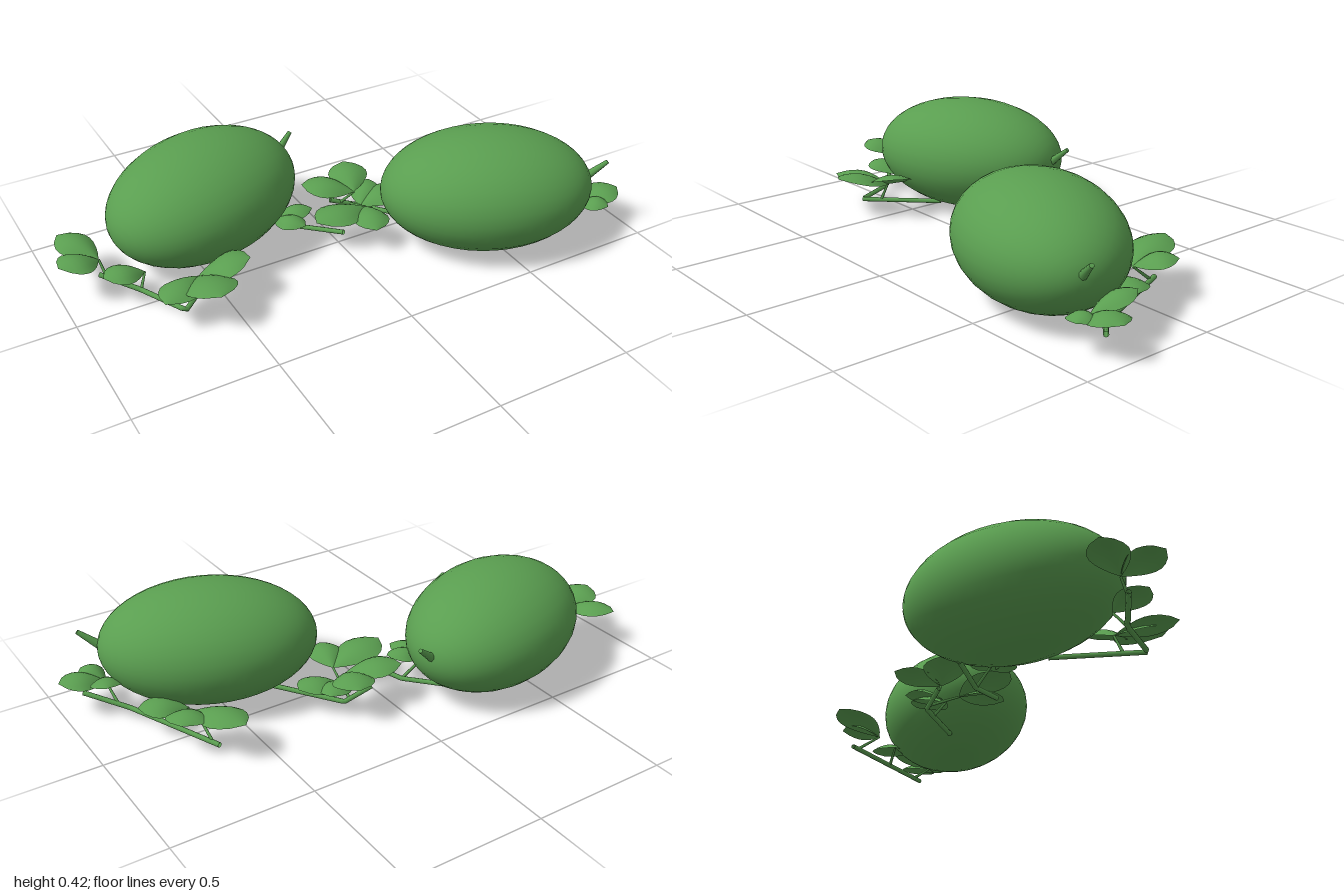
import * as THREE from 'three';

const V = (p) => new THREE.Vector3(...p);

export function createModel() {
  const green = new THREE.MeshStandardMaterial({ color: 0x5a9e50, side: THREE.DoubleSide });
  green.name = 'leaf green';
  const model = new THREE.Group();
  model.name = 'melonPatch';

  const add = (geometry, name) => {
    const mesh = new THREE.Mesh(geometry, green);
    mesh.name = name;
    model.add(mesh);
    return mesh;
  };

  // Flattened oval fruit, poles along its long axis
  const fruit = (x, z, turn) => {
    const g = new THREE.SphereGeometry(1, 32, 24).rotateZ(Math.PI / 2).scale(0.385, 0.212, 0.276);
    const m = add(g, 'fruit');
    m.position.set(x, 0.215, z);
    m.rotation.y = turn;
  };

  // Tapered stalk between two points
  const stalk = (a, b, r0, r1, name) => {
    const from = V(a), dir = V(b).sub(from);
    const g = new THREE.CylinderGeometry(r1, r0, dir.length(), 8);
    const m = add(g, name);
    m.position.copy(from).addScaledVector(dir, 0.5);
    m.quaternion.setFromUnitVectors(new THREE.Vector3(0, 1, 0), dir.normalize());
  };

  // Vine with straight runs and bends at its nodes
  const vine = (points) => {
    const path = new THREE.CurvePath();
    points.slice(1).forEach((p, i) => path.add(new THREE.LineCurve3(V(points[i]), V(p))));
    add(new THREE.TubeGeometry(path, 32, 0.009, 8), 'vine');
  };

  // Pointed, arched leaf lobe folded along its midrib
  const lobe = (base, tip, width) => {
    const a = V(base), d = V(tip).sub(a);
    const side = new THREE.Vector3(-d.z, 0, d.x).normalize();
    const g = new THREE.PlaneGeometry(2, 1, 8, 8);
    const pos = g.attributes.position;
    for (let i = 0; i < pos.count; i++) {
      const s = pos.getX(i), t = pos.getY(i) + 0.5;
      const half = (width / 2) * Math.sin(Math.PI * Math.pow(t, 1.25)) ** 0.7 || 0;
      const p = a.clone().addScaledVector(d, t).addScaledVector(side, s * half);
      p.y += 0.03 * Math.sin(Math.PI * t) - 0.028 * s * s * Math.sin(Math.PI * t);
      pos.setXYZ(i, p.x, p.y, p.z);
    }
    g.computeVertexNormals();
    add(g, 'leafLobe');
  };

  // Leaf: petiole from the vine plus lobes fanning from its top
  const leaf = (root, base, lobes) => {
    stalk(root, base, 0.006, 0.004, 'leafStalk');
    lobes.forEach(([x, y, z, w]) => lobe(base, [x, y, z], w));
  };

  fruit(-0.425, -0.235, 0.34);
  fruit(0.49, 0.22, -0.4);

  // Fruit stems
  stalk([-0.07, 0.23, -0.345], [-0.003, 0.288, -0.367], 0.016, 0.008, 'fruitStem');
  stalk([0.835, 0.23, 0.365], [0.9, 0.288, 0.395], 0.016, 0.008, 'fruitStem');

  // Ground vines
  vine([[-0.42, 0.04, -0.08], [-0.66, 0.032, 0.13], [-0.75, 0.032, -0.05], [-0.86, 0.072, -0.15]]);
  vine([[-0.22, 0.04, -0.29], [-0.1, 0.03, -0.13], [0, 0.07, 0.04]]);
  vine([[0.32, 0.04, 0.07], [0.16, 0.032, -0.15], [0.06, 0.072, -0.17]]);
  vine([[0.65, 0.035, -0.15], [0.8, 0.032, 0.23], [0.92, 0.072, 0.35]]);

  // Leaves beside the right-hand fruit
  leaf([-0.84, 0.066, -0.13], [-0.85, 0.12, -0.17], [[-0.94, 0.15, -0.34, 0.13], [-1, 0.16, -0.13, 0.15]]);
  leaf([-0.75, 0.032, -0.05], [-0.72, 0.08, -0.08], [[-0.87, 0.11, -0.07, 0.13]]);
  leaf([-0.6, 0.035, 0.08], [-0.58, 0.1, 0.06],
    [[-0.75, 0.13, 0.19, 0.14], [-0.59, 0.16, 0.28, 0.18], [-0.42, 0.17, 0.14, 0.16]]);
  leaf([-0.1, 0.03, -0.13], [-0.2, 0.09, -0.13], [[-0.13, 0.11, -0.01, 0.1], [-0.06, 0.12, -0.09, 0.1]]);

  // Leaves between the fruits
  leaf([0.1, 0.056, -0.16], [0.13, 0.12, -0.11], [[-0.04, 0.15, -0.21, 0.15], [0.18, 0.15, -0.28, 0.15]]);
  leaf([0.14, 0.04, -0.15], [0.13, 0.1, -0.03], [[-0.1, 0.13, 0.02, 0.16], [0.08, 0.11, 0.14, 0.13]]);
  leaf([0.2, 0.034, -0.09], [0.14, 0.07, -0.08], [[0.31, 0.1, -0.09, 0.14], [0.24, 0.1, -0.19, 0.12]]);

  // Leaves beside the left-hand fruit
  leaf([0.66, 0.035, -0.12], [0.67, 0.11, -0.02], [[0.6, 0.15, -0.25, 0.15], [0.77, 0.14, -0.13, 0.15]]);
  leaf([0.74, 0.033, 0.08], [0.66, 0.08, 0.05], [[0.82, 0.1, 0.11, 0.14]]);
  leaf([0.83, 0.042, 0.26], [0.84, 0.1, 0.34],
    [[0.89, 0.16, 0.19, 0.11], [1, 0.13, 0.36, 0.14], [0.89, 0.12, 0.44, 0.1]]);

  return model;
}
